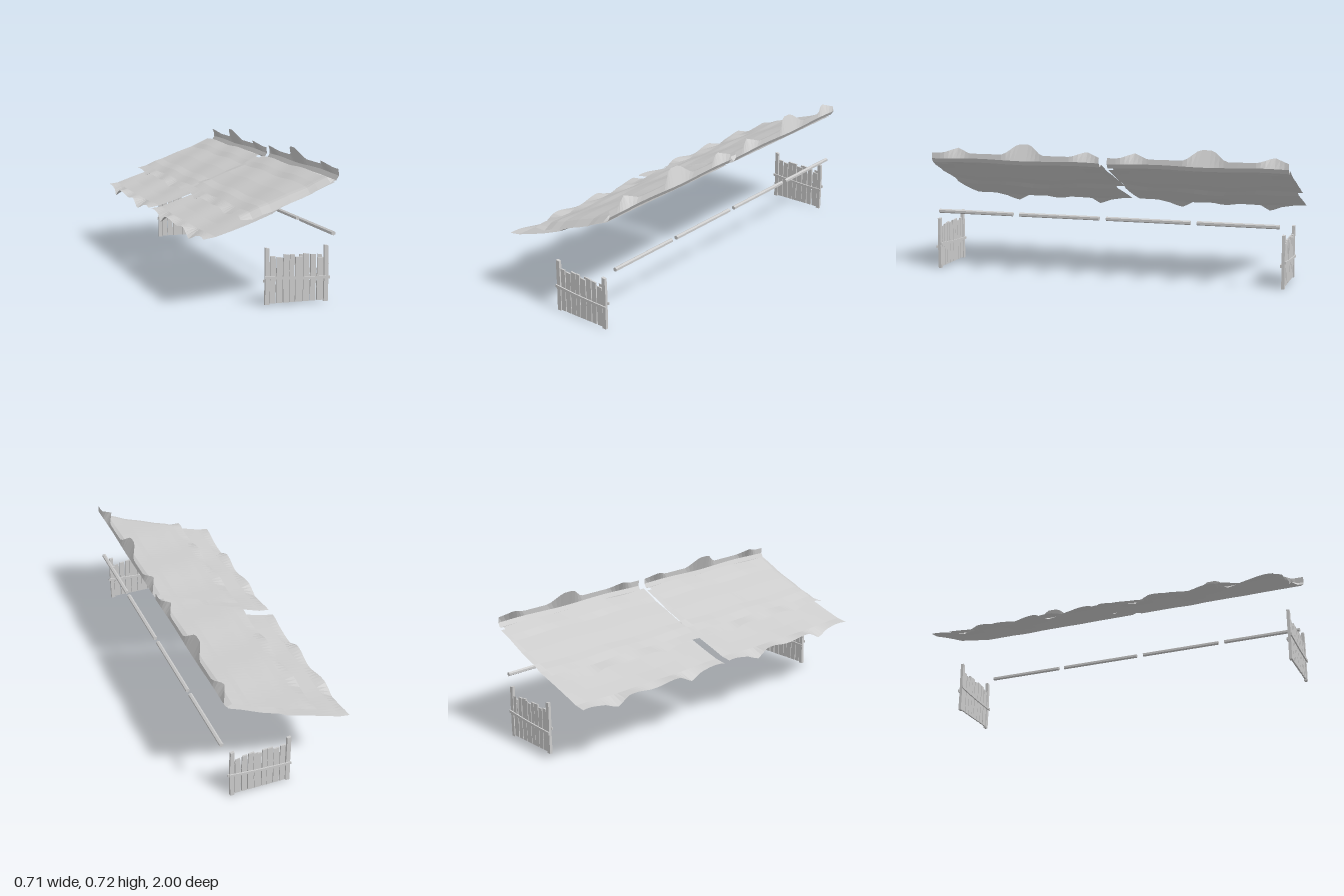
import * as THREE from 'three';

const mat = new THREE.MeshStandardMaterial({ color: 0xcccccc, flatShading: true, side: THREE.DoubleSide });
const LENGTH = 0.975;
const bump = (t, centre, width) => Math.max(0, 1 - Math.abs(t - centre) / width);

// Sheet of cloth: an x/y profile swept along z, with each point moved by a rule
function sheet(name, profile, zStart, move, rows = 40) {
  const n = profile.length, pos = [], idx = [];
  for (let r = 0; r <= rows; r++) {
    const t = (r / rows) * LENGTH;
    profile.forEach(([x, y], i) => {
      const [dx, dy] = move(t, i, n);
      pos.push(x + dx, y + dy, zStart + t);
      if (r < rows && i < n - 1) {
        const a = r * n + i, b = a + n;
        idx.push(a, b, a + 1, b, b + 1, a + 1);
      }
    });
  }
  const g = new THREE.BufferGeometry();
  g.setAttribute('position', new THREE.Float32BufferAttribute(pos, 3));
  g.setIndex(idx);
  g.computeVertexNormals();
  const m = new THREE.Mesh(g, mat);
  m.name = name;
  return m;
}

// Gathered hem: hangs lower and pushes outward at the folds
const hem = (t) => {
  const d = bump(t, 0.22, 0.07) + bump(t, 0.73, 0.08);
  return [0.006 * Math.sin(t * 17) - 0.005 * d, 0.009 * Math.sin(t * 21 + 1) - 0.028 * d];
};

const lowerProfile = [[-0.348, 0.346], [-0.29, 0.36], [-0.2, 0.39], [-0.1, 0.425], [0, 0.46],
  [0.05, 0.488], [0.15, 0.522], [0.25, 0.568], [0.325, 0.6]];
const upperProfile = [[-0.158, 0.445], [-0.1, 0.462], [-0.05, 0.484], [0, 0.5], [0.1, 0.542],
  [0.2, 0.578], [0.24, 0.598], [0.305, 0.625], [0.335, 0.612], [0.349, 0.635], [0.346, 0.665]];

function canopy(zStart, droopEnd) {
  const g = new THREE.Group();
  g.name = 'canopy';
  // lower cloth, sagging in the middle
  g.add(sheet('lowerCloth', lowerProfile, zStart, (t, i, n) => {
    if (i === 0) return hem(t);
    const f = Math.sin((i / (n - 1)) * Math.PI);
    return [0, -0.018 * f * Math.sin((t / LENGTH) * Math.PI) + 0.005 * f * Math.sin(t * 15 + i)];
  }));
  // upper cloth with a turned-up lip and three curled peaks
  g.add(sheet('upperCloth', upperProfile, zStart, (t, i, n) => {
    const droop = droopEnd && i < n - 3 ? -0.03 * Math.max(0, (t - 0.92) / (LENGTH - 0.92)) : 0;
    if (i === 0) {
      const [dx, dy] = hem(t);
      return [dx, dy * 0.5 + droop * 0.4];
    }
    if (i === n - 1) {
      const mid = Math.min(1, 1.5 * bump(t, 0.44, 0.11));
      const side = bump(t, 0.83, 0.08) + bump(t, 0.08, 0.08);
      return [-0.036 * mid - 0.035 * side, 0.055 * mid + 0.027 * side];
    }
    const wave = i < n - 3 ? 0.004 * Math.sin(t * 14 + i * 0.8) : 0.003 * Math.sin(t * 11);
    return [0, wave + droop];
  }));
  return g;
}

function box(name, w, h, d, x, y, z, rz = 0) {
  const m = new THREE.Mesh(new THREE.BoxGeometry(w, h, d, 1, 3, 1), mat);
  m.name = name;
  m.position.set(x, y, z);
  m.rotation.z = rz;
  return m;
}

// Rough board: box with its rows of corners shifted a little
function board(name, x, width, bottom, top, depth, seed) {
  const m = box(name, width, top - bottom, depth, x, (top + bottom) / 2, 0);
  const p = m.geometry.attributes.position, h = top - bottom;
  for (let i = 0; i < p.count; i++) {
    const row = Math.round((p.getY(i) / h + 0.5) * 3);
    const s = Math.sin(seed * 5.3 + row * 2.1);
    p.setX(i, p.getX(i) * (1 - 0.08 * (row === 3 ? 1 : 0)) + 0.0014 * s);
    if (row === 3) p.setY(i, p.getY(i) - 0.004 * Math.abs(s) * (p.getX(i) > 0 ? 1 : 0));
  }
  m.geometry.computeVertexNormals();
  return m;
}

// Slightly bent cross bar between two heights
function bar(name, yLeft, yRight, z) {
  const m = box(name, 1, 1, 1, 0, 0, z);
  m.geometry = new THREE.BoxGeometry(0.345, 0.014, 0.007, 4, 1, 1);
  const p = m.geometry.attributes.position;
  for (let i = 0; i < p.count; i++) {
    const u = p.getX(i) / 0.345 + 0.5;
    p.setY(i, p.getY(i) + yLeft + (yRight - yLeft) * u - 0.004 * Math.sin(u * Math.PI));
  }
  m.position.x = 0.136;
  m.geometry.computeVertexNormals();
  return m;
}

function fence(z) {
  const g = new THREE.Group();
  g.name = 'fence';
  g.add(board('post', -0.021, 0.023, 0.004, 0.29, 0.016, 1));
  g.add(board('post', 0.291, 0.022, 0.002, 0.288, 0.016, 2));
  // [centre x, width, top]
  const planks = [[0.009, 0.029, 0.246], [0.044, 0.032, 0.239], [0.08, 0.033, 0.252], [0.111, 0.026, 0.25],
    [0.147, 0.038, 0.236], [0.186, 0.033, 0.251], [0.222, 0.029, 0.245], [0.26, 0.034, 0.226]];
  planks.forEach(([x, w, top], i) => g.add(board('plank', x, w, 0.009, top, 0.009, i + 3)));
  // short boards peeking out from behind
  [[0.162, 0.247], [0.262, 0.242]].forEach(([x, top], i) => {
    const m = board('backPlank', x, 0.024, 0.12, top, 0.004, i + 20);
    m.position.z = -0.006;
    g.add(m);
  });
  g.add(bar('frontBar', 0.144, 0.125, 0.0115));
  g.add(bar('backBar', 0.121, 0.143, -0.0115));
  g.position.z = z;
  return g;
}

export function createModel() {
  const model = new THREE.Group();
  model.name = 'awning';
  model.add(canopy(-1, false), canopy(0.02, true));
  model.add(fence(0.983), fence(-0.972));
  // four poles laid end to end
  [[0.517, 0.957], [0.02, 0.48], [-0.485, -0.02], [-0.957, -0.52]].forEach(([a, b]) => {
    const pole = new THREE.Mesh(new THREE.CylinderGeometry(0.0115, 0.0115, b - a, 6), mat);
    pole.name = 'pole';
    pole.rotation.x = Math.PI / 2;
    pole.position.set(0.341, 0.337, (a + b) / 2);
    model.add(pole);
  });
  return model;
}
